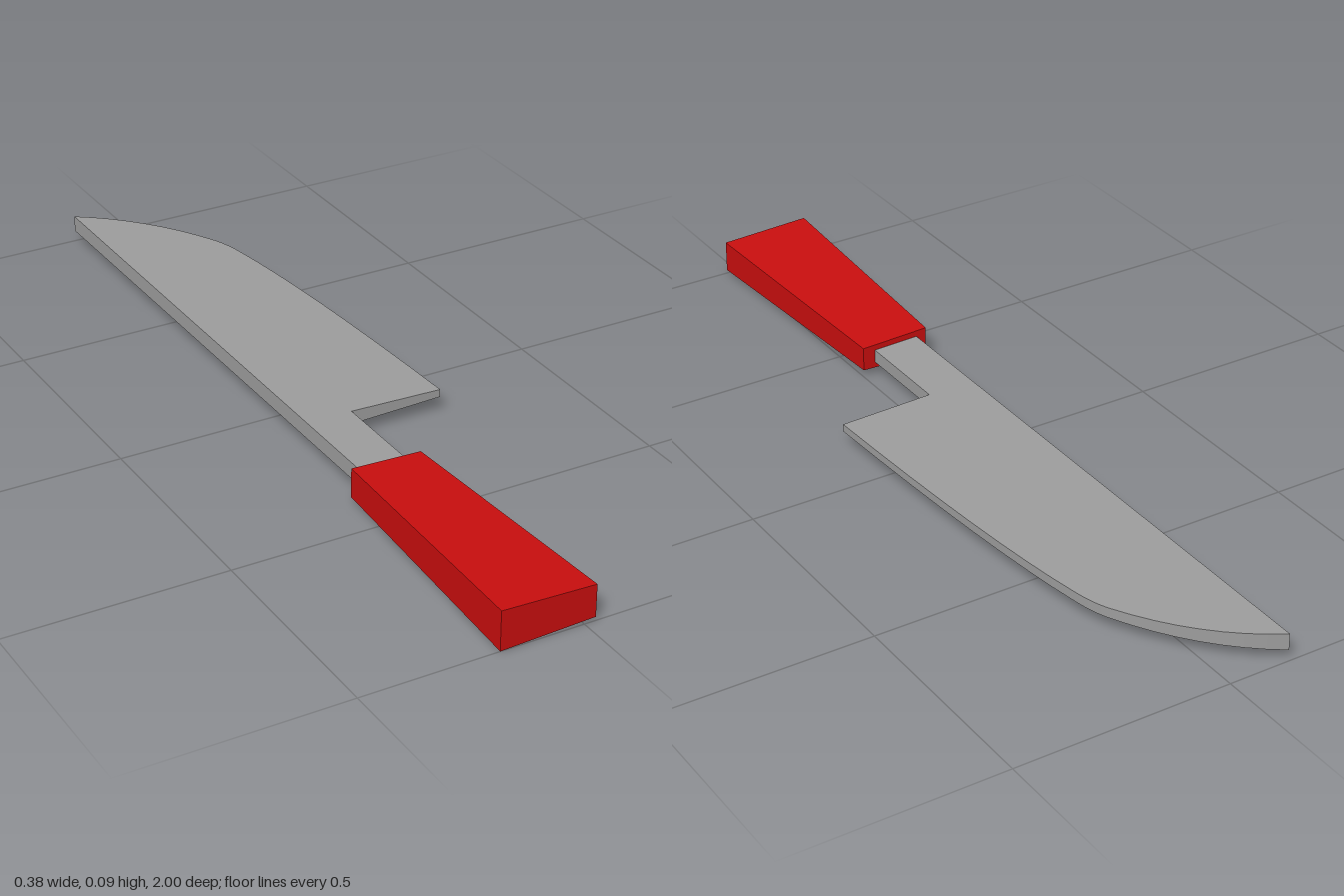
import * as THREE from 'three';

export function createModel() {
  const group = new THREE.Group();
  const steel = new THREE.MeshStandardMaterial({ color: 0x9c9c9c });
  steel.name = 'steelGrey';
  const red = new THREE.MeshStandardMaterial({ color: 0xc80e0e });
  red.name = 'handleRed';
  const midY = 0.0455;

  // Move each vertex by a rule, then rebuild crisp facet normals
  const reshape = (geometry, rule) => {
    const g = geometry.index ? geometry.toNonIndexed() : geometry;
    const p = g.attributes.position;
    for (let i = 0; i < p.count; i++) p.setXYZ(i, ...rule(p.getX(i), p.getY(i), p.getZ(i)));
    g.computeVertexNormals();
    return g;
  };
  const add = (name, geometry, material) => {
    const mesh = new THREE.Mesh(geometry, material);
    mesh.name = name;
    group.add(mesh);
  };

  // Blade and tang: outline drawn with shape y = -z
  const outline = new THREE.Shape();
  outline.moveTo(-0.14, -0.42);
  outline.lineTo(-0.03, -0.42);
  outline.lineTo(-0.03, -0.155);
  outline.lineTo(0.19, -0.155);
  outline.quadraticCurveTo(0.17, 0.4, 0.126, 0.65);
  outline.quadraticCurveTo(0.118, 0.7, 0.1, 0.735);
  outline.quadraticCurveTo(0.01, 0.91, -0.14, 1);
  outline.closePath();
  const blade = new THREE.ExtrudeGeometry(outline, { depth: 1, bevelEnabled: false, curveSegments: 8 });
  blade.translate(0, 0, -0.5).rotateX(-Math.PI / 2);
  // Thick at the spine, thin at the cutting edge
  add('blade', reshape(blade, (x, y, z) => [x, midY + 2 * y * (0.019 - 0.0303 * (x + 0.14)), z]), steel);

  // Handle: wider and taller at the butt, slimmer on the edge side
  const handle = reshape(new THREE.BoxGeometry(1, 1, 1), (x, y, z) => {
    const butt = z > 0;
    const spine = x < 0;
    const px = butt ? (spine ? -0.19 : 0.026) : (spine ? -0.165 : 0);
    const half = butt ? (spine ? 0.0455 : 0.037) : (spine ? 0.034 : 0.028);
    return [px, midY + Math.sign(y) * half, butt ? 1 : 0.39];
  });
  add('handle', handle, red);

  return group;
}
